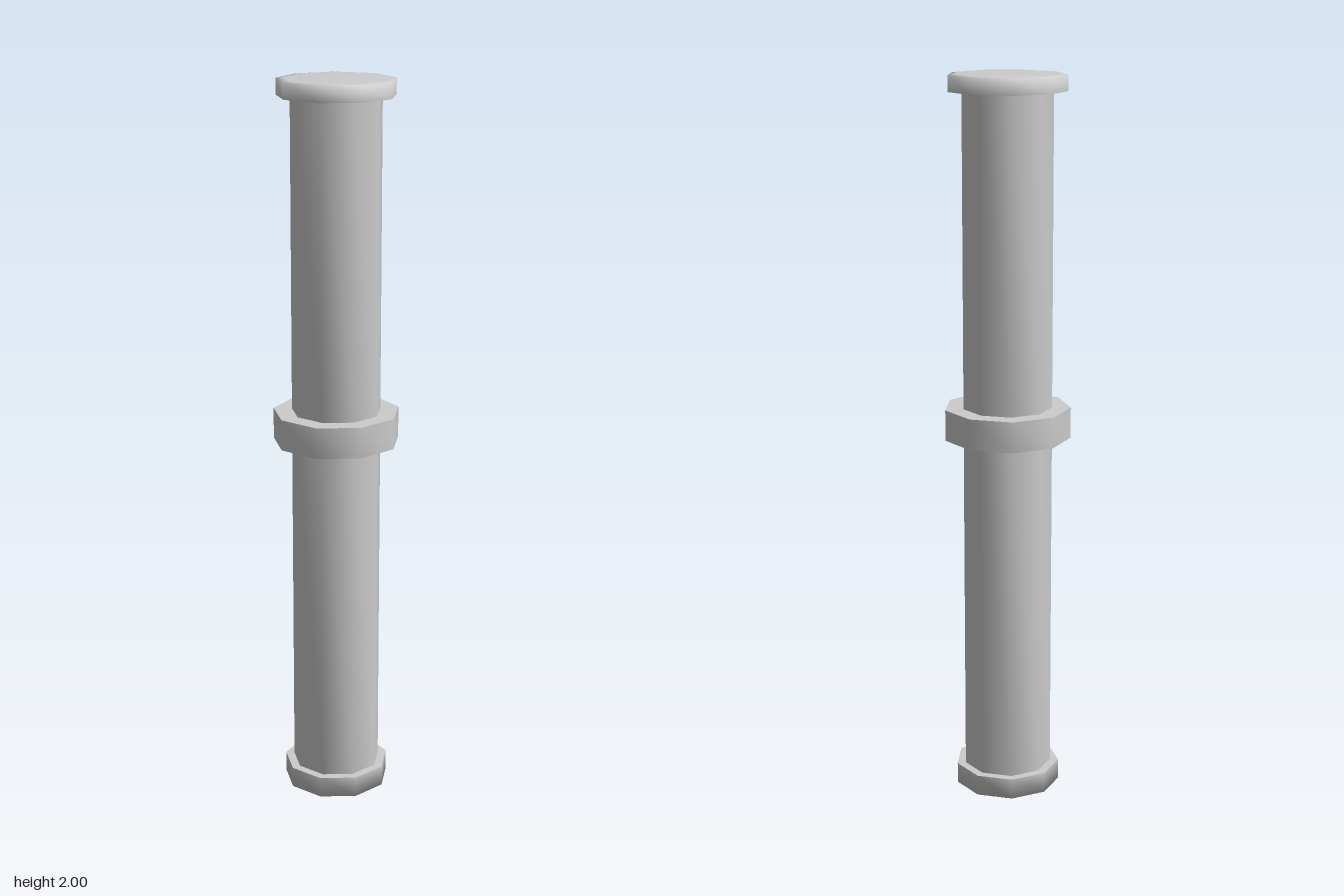
import * as THREE from 'three';
import { toCreasedNormals } from 'three/addons/utils/BufferGeometryUtils.js';

const SIDES = 9;
const material = new THREE.MeshStandardMaterial({ color: 0xcccccc });

// Nine-sided turned shell with a corner at the back; profile runs bottom to top.
function turned(name, profile, crease) {
  const points = profile.map(([r, y]) => new THREE.Vector2(r, y));
  const lathe = new THREE.LatheGeometry(points, SIDES, Math.PI);
  const mesh = new THREE.Mesh(toCreasedNormals(lathe, crease), material);
  mesh.name = name;
  return mesh;
}

const SHARP = Math.PI / 4; // smooth around the sides, crisp rims
const SOFT = Math.PI / 1.8; // smooth over the rim too

export function createModel() {
  const group = new THREE.Group();
  group.name = 'pipe';

  // Base flange: soft lower rim, crisp upper face
  const base = new THREE.Group();
  base.name = 'baseFlange';
  base.add(
    turned('baseBody', [[0, 0], [0.13, 0], [0.147, 0.002], [0.147, 0.06]], SOFT),
    turned('baseShoulder', [[0.147, 0.06], [0, 0.06]], SHARP)
  );

  // Two pipe lengths, their ends tucked into the flanges
  const lower = turned('lowerPipe', [[0.123, 0.06], [0.123, 1.02]], SHARP);
  const upper = turned('upperPipe', [[0.123, 1.105], [0.123, 1.955]], SHARP);

  // Joint collar
  const collar = turned('jointCollar', [[0, 1.02], [0.174, 1.02], [0.174, 1.105], [0, 1.105]], SHARP);

  // Top flange: crisp underside, soft upper rim
  const cap = new THREE.Group();
  cap.name = 'topFlange';
  cap.add(
    turned('capUnderside', [[0, 1.955], [0.16, 1.955]], SHARP),
    turned('capBody', [[0.16, 1.955], [0.16, 1.998], [0.14, 2], [0, 2]], SOFT)
  );

  group.add(base, lower, collar, upper, cap);
  // An odd-sided outline is off-centre in depth, so recentre it
  group.children.forEach((part) => { part.position.z = 0.005; });
  return group;
}
